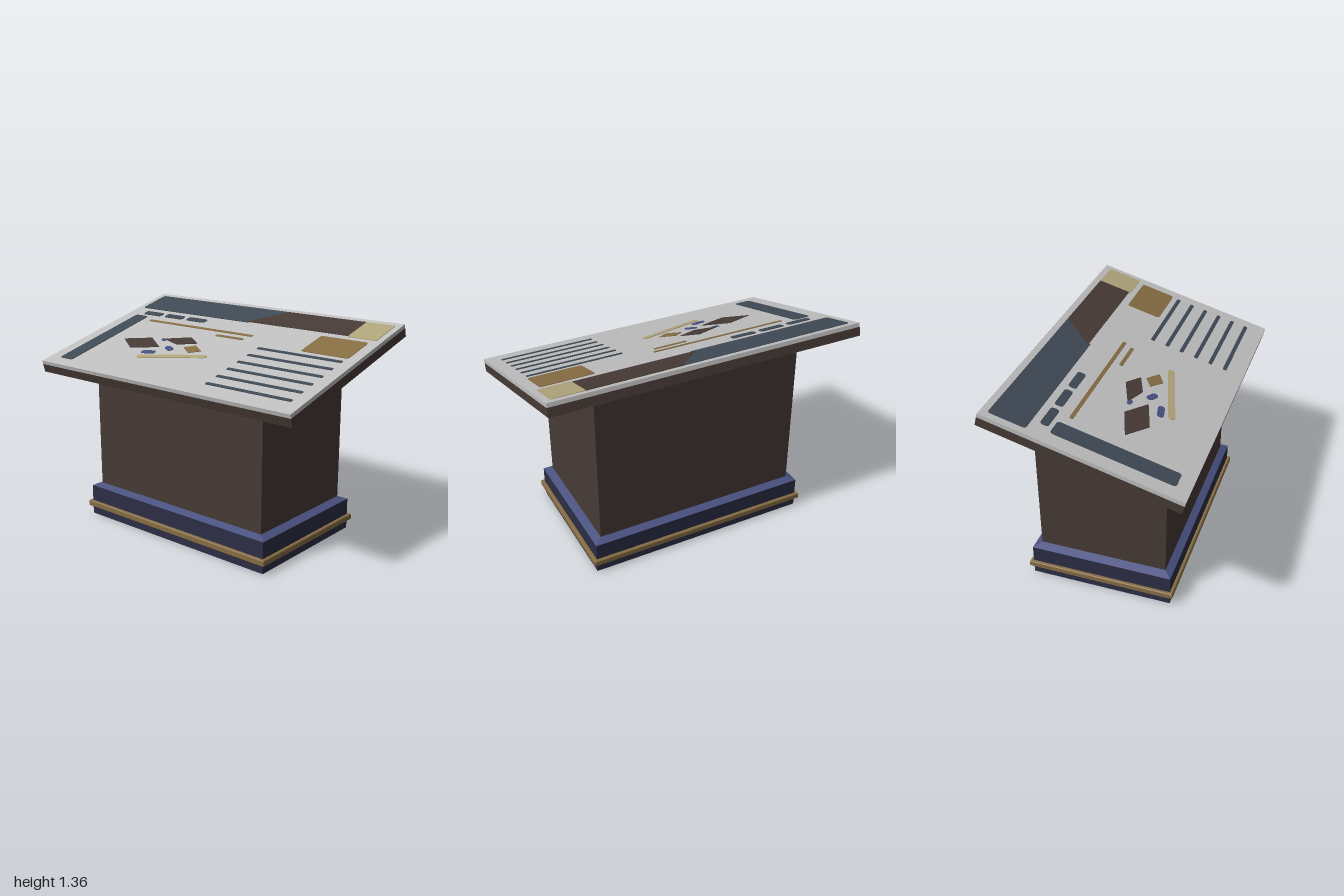
import * as THREE from 'three';

const mat = (name, color, side = THREE.FrontSide) => {
  const m = new THREE.MeshStandardMaterial({ color, side });
  m.name = name;
  return m;
};

const TILT = THREE.MathUtils.degToRad(15);
const CX = -0.0075, TOP_Y = 1.2025;   // middle of the sloped top surface
const BASE_X = 0.01;                  // middle of the pedestal

// Rectangular cross-section; slope raises y along x
const ring = (hx, hz, y, slope = 0) =>
  [[-1, 1], [1, 1], [1, -1], [-1, -1]].map(([sx, sz]) => [BASE_X + sx * hx, y + sx * hx * slope, sz * hz]);

// Four-sided open shell through a stack of cross-sections, bottom to top
function shell(name, rings, material) {
  const pos = [];
  for (let r = 0; r < rings.length - 1; r++) {
    for (let i = 0; i < 4; i++) {
      const j = (i + 1) % 4;
      const a = rings[r][i], b = rings[r][j], c = rings[r + 1][j], d = rings[r + 1][i];
      pos.push(...a, ...b, ...c, ...a, ...c, ...d);
    }
  }
  const g = new THREE.BufferGeometry();
  g.setAttribute('position', new THREE.Float32BufferAttribute(pos, 3));
  g.computeVertexNormals();
  const mesh = new THREE.Mesh(g, material);
  mesh.name = name;
  return mesh;
}

// Plan x to distance along the sloped surface
const along = x => (x - CX) / Math.cos(TILT);

function polygon(points) {
  return new THREE.Shape(points.map(([x, z]) => new THREE.Vector2(along(x), -z)));
}

function roundRect(x0, x1, z0, z1, r) {
  const a = along(x0), b = along(x1), c = -z1, d = -z0;
  const s = new THREE.Shape();
  s.moveTo(a + r, c).lineTo(b - r, c).quadraticCurveTo(b, c, b, c + r);
  s.lineTo(b, d - r).quadraticCurveTo(b, d, b - r, d);
  s.lineTo(a + r, d).quadraticCurveTo(a, d, a, d - r);
  s.lineTo(a, c + r).quadraticCurveTo(a, c, a + r, c);
  return s;
}

// Round-ended stroke between two plan points
function capsule(x0, z0, x1, z1, w) {
  const p = new THREE.Vector2(along(x0), -z0), q = new THREE.Vector2(along(x1), -z1);
  const t = Math.atan2(q.y - p.y, q.x - p.x), r = w / 2;
  const s = new THREE.Shape();
  s.absarc(q.x, q.y, r, t - Math.PI / 2, t + Math.PI / 2, false);
  s.absarc(p.x, p.y, r, t + Math.PI / 2, t + Math.PI * 1.5, false);
  return s;
}

export function createModel() {
  const brown = mat('dark brown', 0x463a35, THREE.DoubleSide);
  const navy = mat('navy', 0x2c2d45, THREE.DoubleSide);
  const blue = mat('blue', 0x485080, THREE.DoubleSide);
  const gold = mat('gold', 0x866d43, THREE.DoubleSide);
  const grey = mat('light grey', 0xc0bfbf);
  const slate = mat('slate', 0x3f4a55);
  const tan = mat('tan', 0xb0a57c);

  const model = new THREE.Group();
  model.name = 'lectern';

  // Hollow plinth, its bevel, the trim band and the hollow pedestal
  const slope = Math.tan(TILT);
  const underY = TOP_Y - 0.079 / Math.cos(TILT) + slope * (BASE_X - CX);
  model.add(
    shell('plinth', [ring(0.45, 0.725, 0), ring(0.45, 0.725, 0.2)], navy),
    shell('plinthBevel', [ring(0.45, 0.725, 0.2), ring(0.405, 0.675, 0.22)], blue),
    shell('trimBand', [
      ring(0.4505, 0.7255, 0.055), ring(0.465, 0.74, 0.055), ring(0.47, 0.745, 0.06),
      ring(0.47, 0.745, 0.09), ring(0.465, 0.74, 0.095), ring(0.4505, 0.7255, 0.095),
    ], gold),
    shell('pedestal', [ring(0.405, 0.675, 0.22), ring(0.405, 0.675, underY, slope)], brown),
  );

  // Sloped board, origin on its top surface
  const board = new THREE.Group();
  board.name = 'slopedBoard';
  board.position.set(CX, TOP_Y, 0);
  board.rotation.z = TILT;
  model.add(board);
  const slab = (name, top, height, material) => {
    const m = new THREE.Mesh(new THREE.BoxGeometry(1.206, height, 2), material);
    m.position.y = top - height / 2;
    m.name = name;
    board.add(m);
  };
  slab('boardBody', -0.025, 0.055, brown);
  slab('boardFace', 0, 0.025, grey);

  // Thin painted plates on the board
  const plate = (name, shape, material) => {
    const g = new THREE.ExtrudeGeometry(shape, { depth: 0.003, bevelEnabled: false, curveSegments: 6 });
    const m = new THREE.Mesh(g.rotateX(-Math.PI / 2), material);
    m.name = name;
    board.add(m);
  };

  // Heading, captions and text lines
  plate('headingBar', roundRect(-0.51, 0.2, -0.91, -0.797, 0.02), slate);
  for (const z of [-0.87, -0.67, -0.47]) plate('captionPill', roundRect(0.225, 0.275, z, z + 0.165, 0.02), slate);
  for (let i = 0; i < 6; i++) {
    const x = -0.465 + i * 0.096;
    plate('textLine', roundRect(x - 0.012, x + 0.012, 0.315, 0.92, 0.008), slate);
  }

  // Side banner
  plate('bannerSlate', polygon([[0.318, -0.945], [0.328, -0.955], [0.525, -0.955], [0.535, -0.945],
    [0.535, 0.175], [0.33, -0.01], [0.318, 0.01]]), slate);
  plate('bannerBrown', polygon([[0.328, -0.011], [0.535, 0.175], [0.535, 0.76], [0.328, 0.76]]), brown);
  plate('bannerTan', roundRect(0.316, 0.535, 0.76, 0.96, 0.015), tan);

  // Gold square and rules
  plate('goldSquare', roundRect(0.062, 0.28, 0.6, 0.93, 0.02), gold);
  plate('longRule', roundRect(0.14, 0.162, -0.73, 0.17, 0.006), gold);
  plate('shortRule', roundRect(0.08, 0.102, -0.08, 0.14, 0.006), gold);

  // Illustration of diamonds, stick and beads
  plate('largeDiamond', polygon([[-0.145, -0.68], [-0.075, -0.49], [-0.17, -0.335], [-0.24, -0.53]]), brown);
  plate('bead', capsule(-0.07, -0.395, -0.075, -0.375, 0.026), blue);
  plate('middleDiamond', polygon([[-0.06, -0.39], [0.01, -0.22], [-0.05, -0.115], [-0.105, -0.245]]), brown);
  plate('smallDiamond', polygon([[-0.125, -0.165], [-0.08, -0.1], [-0.135, -0.01], [-0.18, -0.08]]), gold);
  plate('stick', capsule(-0.32, -0.365, -0.19, 0.06, 0.042), tan);
  plate('bead', capsule(-0.258, -0.385, -0.245, -0.325, 0.042), blue);
  plate('bead', capsule(-0.158, -0.27, -0.175, -0.235, 0.042), blue);

  return model;
}
